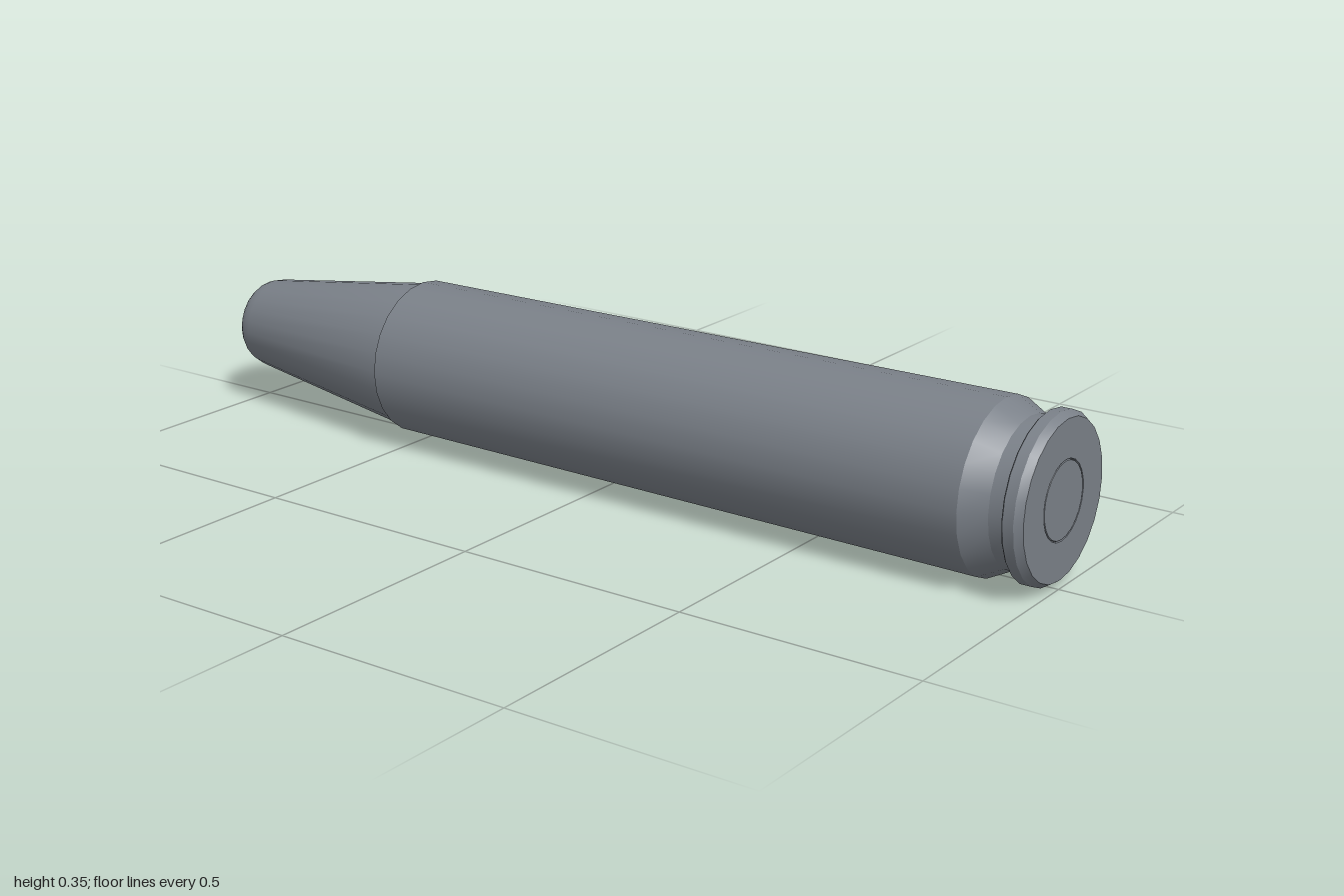
import * as THREE from 'three';
import { toCreasedNormals } from 'three/addons/utils/BufferGeometryUtils.js';

const AXIS_HEIGHT = 0.174;
const SIDES = 24;

// Revolves [radius, z] pairs, listed from back to front, around the z axis.
function turned(name, profile, material) {
  const points = profile.map(([r, z]) => new THREE.Vector2(r, z));
  const lathe = new THREE.LatheGeometry(points, SIDES).rotateX(Math.PI / 2);
  const mesh = new THREE.Mesh(toCreasedNormals(lathe, 0.45), material);
  mesh.name = name;
  mesh.position.y = AXIS_HEIGHT;
  return mesh;
}

export function createModel() {
  const group = new THREE.Group();
  group.name = 'cartridge';
  const material = new THREE.MeshStandardMaterial({ color: 0x7a8088 });

  // Tapered case with extractor groove, rim and primer pocket
  group.add(turned('case', [
    [0.157, -0.5], [0.159, -0.525], [0.165, -0.525],
    [0.174, 0.875], [0.148, 0.925], [0.148, 0.96],
    [0.164, 0.96], [0.167, 0.963], [0.167, 0.985], [0.157, 1],
    [0.079, 1], [0.078, 0.994], [0, 0.994],
  ], material));

  // Tapered tip with a softly rounded end, seated inside the case mouth
  group.add(turned('tip', [
    [0, -1], [0.068, -1], [0.078, -0.998], [0.086, -0.993],
    [0.092, -0.985], [0.096, -0.974], [0.099, -0.96],
    [0.159, -0.525], [0.159, -0.45], [0, -0.45],
  ], material));

  // Primer disc in the base
  group.add(turned('primer', [
    [0.077, 0.98], [0.077, 0.998], [0.076, 1], [0, 1],
  ], material));

  return group;
}
